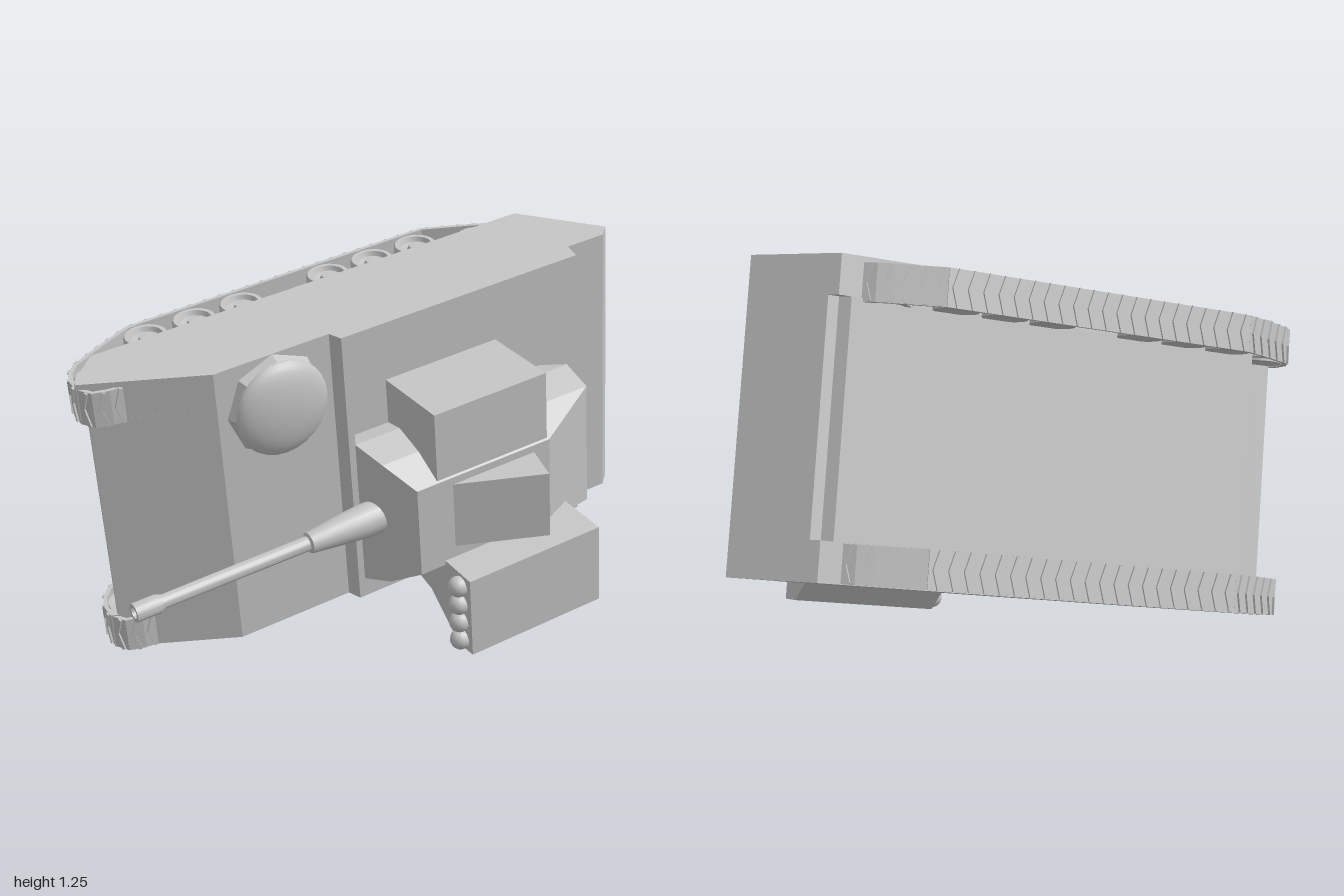
import * as THREE from 'three';
import { mergeGeometries, toCreasedNormals } from 'three/addons/utils/BufferGeometryUtils.js';

// Local axes of the vehicle: x = rearward, y = sideways, z = up.
const MID = -0.021;      // sideways centre of the hull
const TRACKS = -0.029;   // sideways centre of the running gear
const TURRET = -0.13;    // sideways centre of the turret

export function createModel() {
  const model = new THREE.Group();
  const tank = new THREE.Group();
  tank.name = 'tank';
  model.add(tank);
  const grey = new THREE.MeshStandardMaterial({ color: 0xc4c4c4 });
  grey.name = 'grey';

  const add = (name, geo, x = 0, y = 0, z = 0, parent = tank) => {
    const mesh = new THREE.Mesh(geo, grey);
    mesh.name = name;
    mesh.position.set(x, y, z);
    parent.add(mesh);
    return mesh;
  };
  const extrude = (pts, depth) => new THREE.ExtrudeGeometry(
    new THREE.Shape(pts.map(p => new THREE.Vector2(...p))), { depth, bevelEnabled: false });
  // Side profile (x, z) extruded across y0..y1
  const sidePrism = (pts, y0, y1) => extrude(pts, y1 - y0).rotateX(Math.PI / 2).translate(0, y1, 0);
  // End profile (y, z) extruded along x0..x1
  const endPrism = (pts, x0, x1) => extrude(pts, x1 - x0).applyMatrix4(new THREE.Matrix4().makeBasis(
    new THREE.Vector3(0, 1, 0), new THREE.Vector3(0, 0, 1), new THREE.Vector3(1, 0, 0))).translate(x0, 0, 0);
  const lathe = (pts, n) => toCreasedNormals(
    new THREE.LatheGeometry(pts.map(p => new THREE.Vector2(...p)), n), 0.6);

  // Skin over four-cornered loops, closed at both ends
  const loft = loops => {
    const pos = [];
    const quad = (a, b, c, d) => pos.push(...a, ...b, ...c, ...a, ...c, ...d);
    for (let k = 0; k < loops.length - 1; k++) {
      for (let i = 0; i < 4; i++) {
        const j = (i + 1) % 4;
        quad(loops[k][i], loops[k][j], loops[k + 1][j], loops[k + 1][i]);
      }
    }
    quad(...[...loops[0]].reverse());
    quad(...loops[loops.length - 1]);
    const g = new THREE.BufferGeometry();
    g.setAttribute('position', new THREE.Float32BufferAttribute(pos, 3));
    g.computeVertexNormals();
    return g;
  };
  const loop = (x0, x1, half, z) => [
    [x0, TURRET - half, z], [x1, TURRET - half, z], [x1, TURRET + half, z], [x0, TURRET + half, z]];

  // Hull: stepped deck and raked tail; the belly is cut back under nose and tail between the tracks
  const upper = [
    [0.924, -0.01], [0.882, 0.03], [0.74, 0.03], [0.725, 0.094],
    [-0.16, 0.094], [-0.175, 0.047], [-0.575, 0.047],
  ];
  const belly = [
    [0.71, -0.284], [0.735, -0.25], [0.77, -0.25], ...upper,
    [-0.91, -0.14], [-0.905, -0.158], [-0.84, -0.145], [-0.745, -0.284],
  ];
  const flank = [[0.75, -0.28], ...upper, [-0.93, -0.152], [-0.925, -0.172], [-0.817, -0.284]];
  add('hull', sidePrism(belly, MID - 0.36, MID + 0.36));
  add('rightFlank', sidePrism(flank, MID + 0.36, MID + 0.484));
  add('leftFlank', sidePrism(flank, MID - 0.484, MID - 0.36));

  // Crew hatch on the front deck
  const ring = new THREE.CylinderGeometry(0.15, 0.17, 0.045, 8).toNonIndexed().rotateX(Math.PI / 2);
  ring.computeVertexNormals();
  add('hatchRing', ring, -0.375, 0.294, 0.066);
  const dome = new THREE.SphereGeometry(0.158, 28, 8, 0, Math.PI * 2, 0, Math.PI / 2);
  add('hatchDome', dome.scale(1, 0.34, 1).rotateX(Math.PI / 2), -0.375, 0.294, 0.082);

  // Turret with an undercut rear
  add('turret', loft([
    loop(-0.13, 0.56, 0.24, 0.085),
    loop(-0.175, 0.635, 0.252, 0.16),
    loop(-0.145, 0.635, 0.218, 0.265),
    loop(-0.09, 0.408, 0.155, 0.37),
  ]));
  add('roofSight', sidePrism([[0.03, 0.365], [0.35, 0.365], [0.312, 0.5]], -0.23, 0));
  add('sideBox', new THREE.BoxGeometry(0.415, 0.235, 0.275), 0.195, 0.148, 0.2275);

  // Launcher pod on its bracket, with a row of round tips
  add('launcherPod', endPrism([
    [-0.275, 0.505], [-0.557, 0.505], [-0.56, 0.428], [-0.43, 0.28], [-0.385, 0.12], [-0.26, 0.12],
  ], 0, 0.5));
  for (let i = 0; i < 4; i++) {
    add('rocketTip', new THREE.SphereGeometry(0.034, 14, 10), -0.012, -0.315 - i * 0.068, 0.455);
  }

  // Gun, turned about its own axis and laid forward
  const gun = lathe([
    [0, -0.1], [0.054, -0.1], [0.054, 0.2], [0.048, 0.27], [0.034, 0.395], [0.024, 0.4], [0.022, 0.9],
    [0.03, 0.92], [0.03, 0.997], [0.018, 0.997], [0.018, 0.94], [0, 0.94],
  ], 20);
  add('gun', gun.rotateZ(Math.PI / 2), 0, -0.123, 0.214);

  // Running gear
  const wheelGeo = lathe([
    [0, -0.05], [0.042, -0.05], [0.05, -0.055], [0.071, -0.055], [0.071, 0.048], [0.067, 0.055], [0.053, 0.055],
    [0.047, 0.04], [0.027, 0.036], [0.022, 0.05], [0, 0.052],
  ], 22);
  const path = new THREE.CurvePath();
  const route = [
    [-0.8, -0.09], [-0.89, -0.098], [-0.922, -0.15], [-0.917, -0.235], [-0.865, -0.295], [-0.75, -0.355],
    [-0.63, -0.411], [0.46, -0.411], [0.64, -0.315], [0.68, -0.265], [0.67, -0.22],
  ].map(p => new THREE.Vector3(p[0], 0, p[1]));
  for (let i = 1; i < route.length; i++) path.add(new THREE.LineCurve3(route[i - 1], route[i]));

  // One link: plate, two slanted cleats, inner guide tooth
  const cleat = s => new THREE.BoxGeometry(0.012, 0.062, 0.008).rotateZ(s * 0.3).translate(0, s * 0.028, -0.009);
  const linkGeo = mergeGeometries([
    new THREE.BoxGeometry(0.054, 0.118, 0.013), cleat(1), cleat(-1),
    new THREE.BoxGeometry(0.014, 0.012, 0.02).translate(0, 0, 0.014),
  ]);
  const LINKS = 38;
  const stops = path.getSpacedPoints(LINKS);

  for (const side of [1, -1]) {
    const gear = new THREE.Group();
    gear.name = side > 0 ? 'rightRunningGear' : 'leftRunningGear';
    gear.position.y = TRACKS + side * 0.415;
    tank.add(gear);
    const wheel = (name, x, z) => {
      const w = add(name, wheelGeo, x, 0, z, gear);
      if (side < 0) w.rotation.x = Math.PI;
    };
    for (const x of [-0.605, -0.435, -0.267, 0.053, 0.221, 0.389]) wheel('roadWheel', x, -0.337);
    wheel('frontWheel', -0.838, -0.198);
    wheel('rearWheel', 0.58, -0.258);
    for (let i = 0; i < LINKS; i++) {
      const a = stops[i], b = stops[i + 1];
      const link = add('trackLink', linkGeo, (a.x + b.x) / 2, 0, (a.z + b.z) / 2, gear);
      link.rotation.y = -Math.atan2(b.z - a.z, b.x - a.x);
    }
  }

  // The whole vehicle is pitched and rolled
  const tilt = THREE.MathUtils.degToRad(10);
  tank.rotation.set(tilt, 0, tilt, 'ZYX');
  tank.position.set(0, 0.63, 0);
  return model;
}
